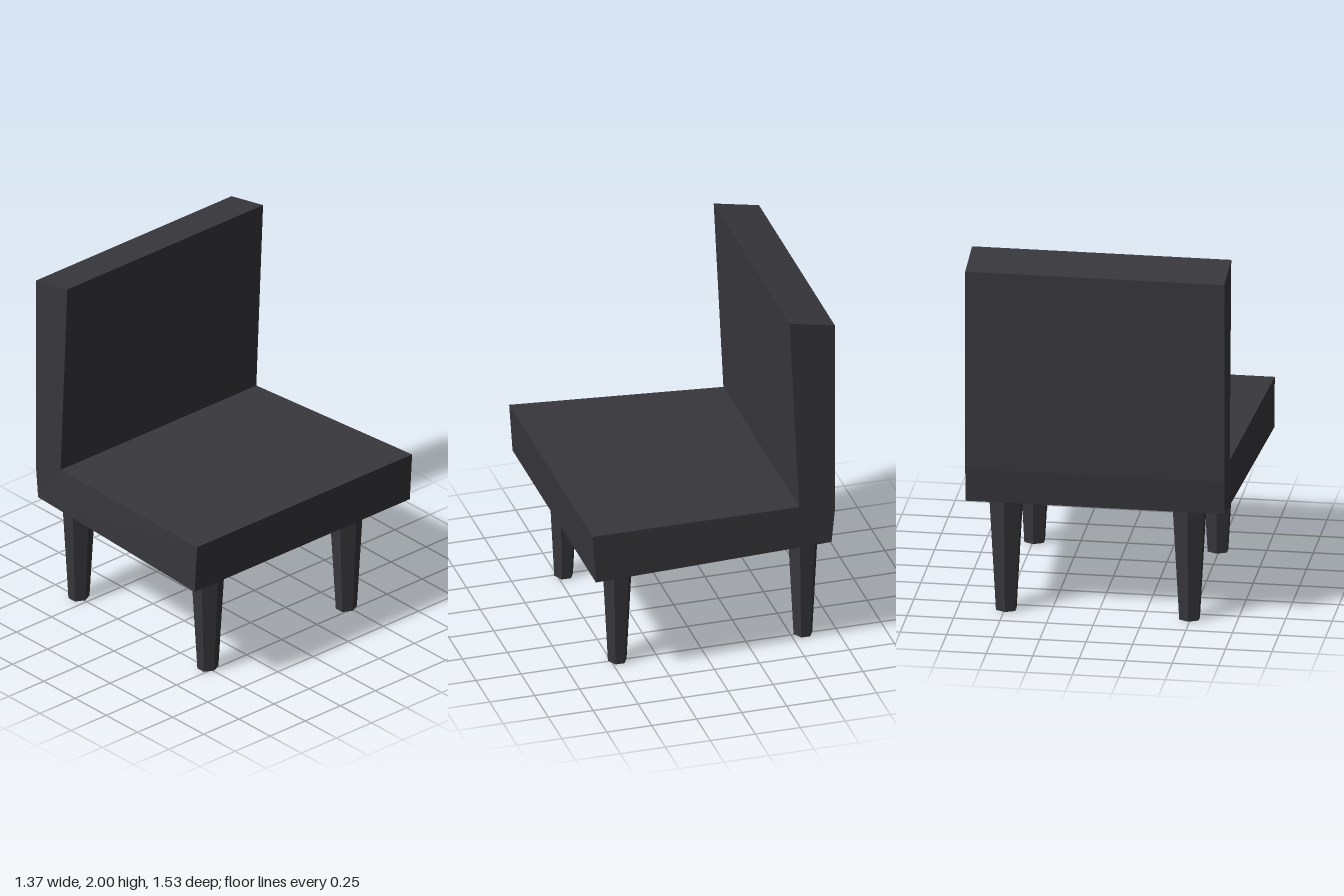
import * as THREE from 'three';

const charcoal = new THREE.MeshStandardMaterial({ color: 0x38373c, flatShading: true });
charcoal.name = 'charcoal';

// One-piece seat and backrest: an L-shaped side profile, flaring wider at the seat's front edge
function createBody() {
  const profile = new THREE.Shape([
    [-0.667, 0.64], [0.664, 0.64], [0.683, 0.92], [-0.487, 0.88],
    [-0.433, 2.0], [-0.685, 1.95], [-0.685, 0.83],
  ].map(([x, y]) => new THREE.Vector2(x, y)));
  const geometry = new THREE.ExtrudeGeometry(profile, { depth: 2, bevelEnabled: false });
  geometry.translate(0, 0, -1);
  const p = geometry.attributes.position;
  for (let i = 0; i < p.count; i++) {
    p.setZ(i, p.getZ(i) * (p.getX(i) > 0 ? 0.766 : 0.697));
  }
  geometry.computeVertexNormals();
  const body = new THREE.Mesh(geometry, charcoal);
  body.name = 'seatAndBackrest';
  return body;
}

// Tapered six-sided leg with corners pointing along x
function createLegGeometry() {
  const height = 0.645;
  const geometry = new THREE.CylinderGeometry(0.085, 0.052, height, 6);
  geometry.rotateY(Math.PI / 2);
  geometry.scale(1, 1, 1.155);
  geometry.rotateY(0);
  geometry.translate(0, height / 2, 0);
  // Turn so a corner faces +x
  const p = geometry.attributes.position;
  p.needsUpdate = true;
  return geometry;
}

export function createModel() {
  const model = new THREE.Group();
  model.name = 'chair';
  model.add(createBody());

  const legGeometry = createLegGeometry();
  for (const [place, x] of [['front', 0.463], ['back', -0.569]]) {
    for (const side of [1, -1]) {
      const leg = new THREE.Mesh(legGeometry, charcoal);
      leg.name = `${place}Leg${side > 0 ? 'Left' : 'Right'}`;
      leg.position.set(x, 0, side * 0.493);
      model.add(leg);
    }
  }
  return model;
}
